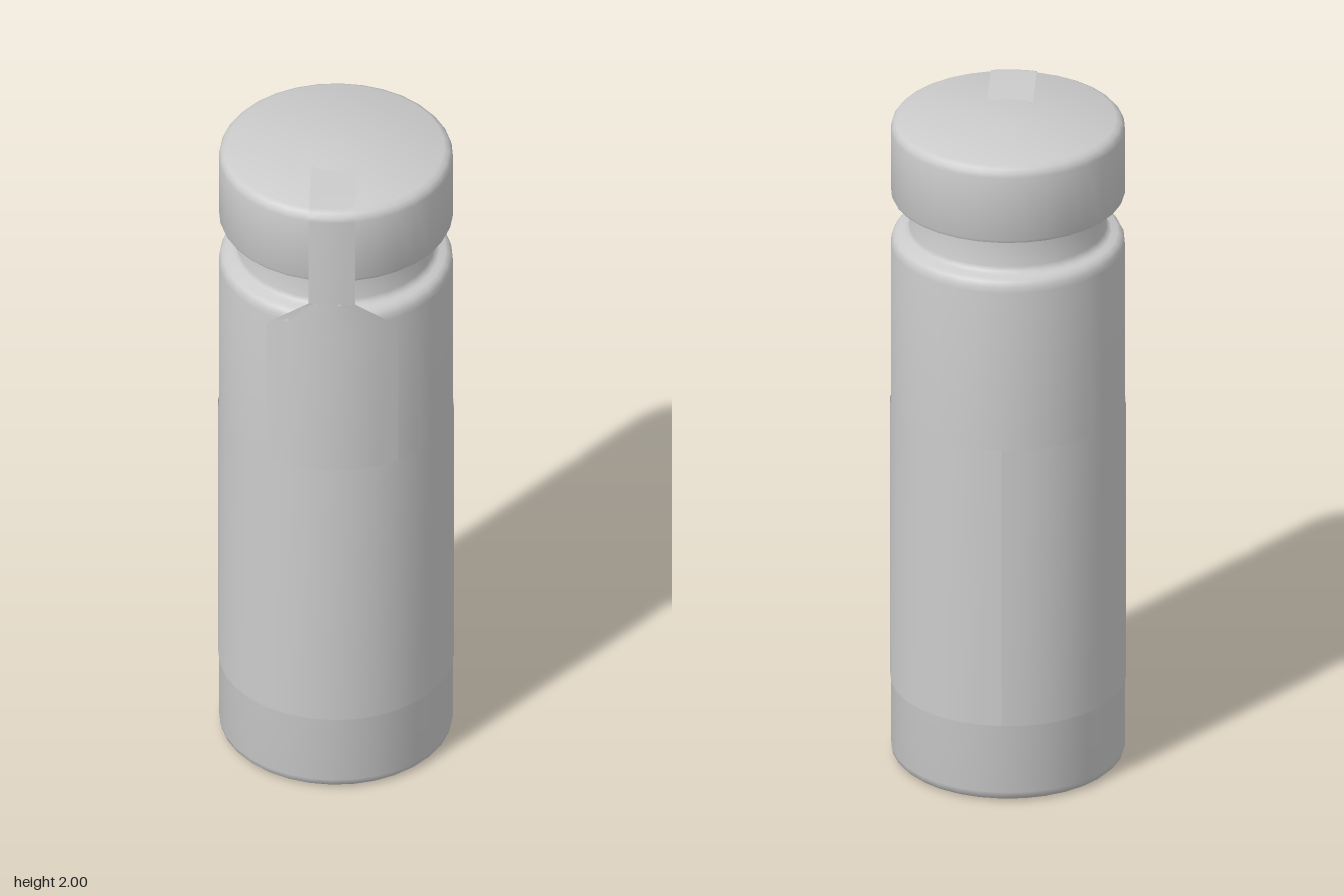
import * as THREE from 'three';
import { toCreasedNormals } from 'three/addons/utils/BufferGeometryUtils.js';

const SIDES = 32;
const STEP = (Math.PI * 2) / SIDES;
const material = new THREE.MeshStandardMaterial({ color: 0xcccccc });
const thinMaterial = new THREE.MeshStandardMaterial({ color: 0xcccccc, side: THREE.DoubleSide });

function lathe(name, profile) {
  const points = profile.map(([r, y]) => new THREE.Vector2(r, y));
  const mesh = new THREE.Mesh(toCreasedNormals(new THREE.LatheGeometry(points, SIDES), 0.7), material);
  mesh.name = name;
  return mesh;
}

// Thin sheet wrapped round the axis; each row is [radius, y, half angle]
function wrappedSheet(name, rows, columns) {
  const position = [], index = [];
  rows.forEach(([r, y, half], i) => {
    for (let j = 0; j <= columns; j++) {
      const a = half * ((2 * j) / columns - 1);
      position.push(r * Math.sin(a), y, r * Math.cos(a));
      if (i > 0 && j > 0) {
        const d = i * (columns + 1) + j, c = d - 1, b = d - columns - 1, e = b - 1;
        index.push(e, b, d, e, d, c);
      }
    }
  });
  const geometry = new THREE.BufferGeometry();
  geometry.setAttribute('position', new THREE.Float32BufferAttribute(position, 3));
  geometry.setIndex(index);
  geometry.computeVertexNormals();
  const mesh = new THREE.Mesh(geometry, thinMaterial);
  mesh.name = name;
  return mesh;
}

export function createModel() {
  const group = new THREE.Group();
  group.name = 'sealedContainer';

  // Body with a shallow recessed base, rounded edges and a narrow neck
  group.add(lathe('body', [
    [0, 0.025], [0.235, 0.025], [0.245, 0.018], [0.265, 0.004], [0.28, 0],
    [0.305, 0], [0.319, 0.004], [0.329, 0.014], [0.333, 0.03],
    [0.333, 1.605], [0.331, 1.622], [0.324, 1.636], [0.312, 1.643],
    [0.295, 1.646], [0.285, 1.652], [0.28, 1.665], [0.28, 1.77],
  ]));

  // Overhanging cap
  group.add(lathe('cap', [
    [0, 1.76], [0.32, 1.76], [0.329, 1.763], [0.333, 1.772],
    [0.333, 1.968], [0.33, 1.981], [0.322, 1.991], [0.308, 1.998], [0, 1.998],
  ]));

  // Label band around the body
  group.add(wrappedSheet('labelBand', [[0.335, 0.24, Math.PI], [0.335, 1.11, Math.PI]], SIDES));

  // Seal tab: wide on the body, tapering to a strip that bridges the neck
  const R = 0.336;
  group.add(wrappedSheet('sealTab', [
    [R, 1.11, 3 * STEP], [R, 1.58, 3 * STEP], [R, 1.635, 2 * STEP], [R, 1.685, STEP],
  ], 6));

  // Seal strip: up the cap side, over its rounded edge and onto the top
  const strip = [[R, 1.685], [R, 1.97], [0.333, 1.983], [0.324, 1.994], [0.308, 2], [0.22, 2], [0.12, 2]];
  group.add(wrappedSheet('sealStrip', strip.map(([r, y]) => [r, y, Math.asin(0.0655 / r)]), 4));

  return group;
}
